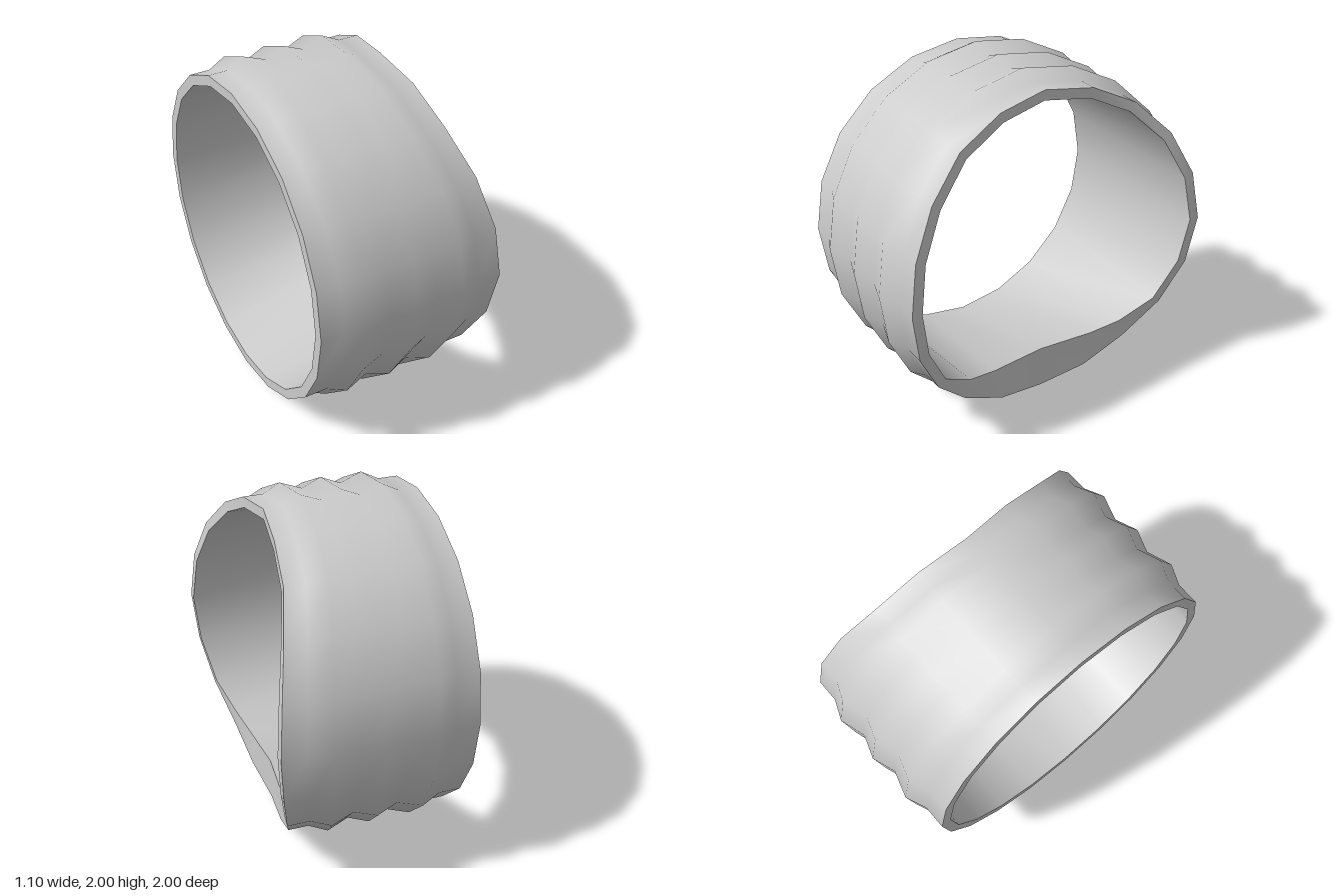
import * as THREE from 'three';
import { toCreasedNormals } from 'three/addons/utils/BufferGeometryUtils.js';

const SIDES = 20;
const BACK = -0.55;                                    // flat end
const RIM = [0.545, 0.52, 0.465, 0.395, 0.36, 0.33];   // saddle end, side to top
// ribbed outer profile: fraction of length, radius
const OUTER = [
  [0, 0.95], [0.125, 0.95], [0.235, 1], [0.375, 0.953], [0.5, 1],
  [0.625, 0.953], [0.763, 1], [0.875, 0.95], [1, 0.95],
];
const BORE = 0.89;

// Closed cross-section of the band at one step around the x axis
function section(i) {
  const a = (i / SIDES) * Math.PI * 2;
  const fold = Math.min(i % 10, 10 - (i % 10));
  const end = RIM[fold];
  const at = (x, r) => [x, 1 + r * Math.sin(a), r * Math.cos(a)];
  const pts = OUTER.map(([t, r]) => at(BACK + t * (end - BACK), r));

  // inner edge of the saddle end, with its thick, flattened bottom
  const inner = at(end, BORE);
  if (i > 10 && fold >= 3) {
    inner[1] = fold === 3 ? 0.347 : 0.31;
    if (fold === 4) inner[2] = Math.sign(inner[2]) * 0.34;
  }
  pts.push(inner, at(BACK, BORE));
  return pts;
}

export function createModel() {
  const positions = [], index = [];
  const n = OUTER.length + 2;
  for (let i = 0; i < SIDES; i++) {
    positions.push(...section(i).flat());
    const p = i * n, q = ((i + 1) % SIDES) * n;
    for (let j = 0; j < n; j++) {
      const k = (j + 1) % n;
      index.push(p + j, p + k, q + k, p + j, q + k, q + j);
    }
  }
  const geometry = new THREE.BufferGeometry();
  geometry.setAttribute('position', new THREE.Float32BufferAttribute(positions, 3));
  geometry.setIndex(index);

  const band = new THREE.Mesh(
    toCreasedNormals(geometry, 0.9),
    new THREE.MeshStandardMaterial({ color: 0xcccccc }),
  );
  band.name = 'ribbedBand';

  const group = new THREE.Group();
  group.name = 'ribbedRing';
  group.add(band);
  return group;
}
